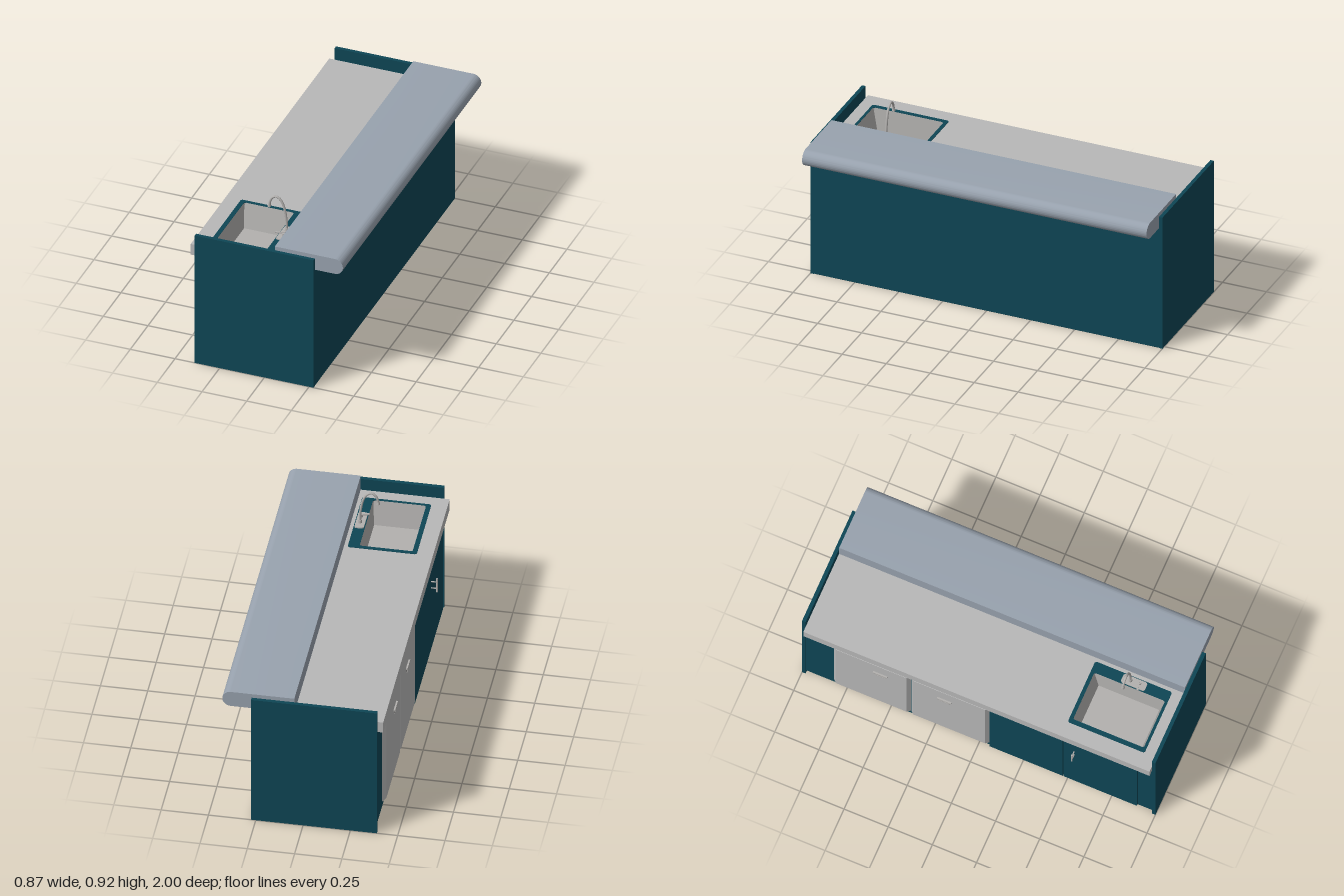
import * as THREE from 'three';
import { toCreasedNormals } from 'three/addons/utils/BufferGeometryUtils.js';

const mat = (name, color, side = THREE.FrontSide) => {
  const m = new THREE.MeshStandardMaterial({ color, side });
  m.name = name;
  return m;
};

export function createModel() {
  const teal = mat('teal laminate', 0x0e4655);
  const stone = mat('grey worktop', 0xb8b8b8);
  const slate = mat('slate bar top', 0x98a2ae);
  const steel = mat('steel', 0xb2b0ae, THREE.DoubleSide);
  const black = mat('black base', 0x232323);
  const model = new THREE.Group();
  model.name = 'barCounter';

  const add = (name, geometry, material, parent = model) => {
    const mesh = new THREE.Mesh(geometry, material);
    mesh.name = name;
    parent.add(mesh);
    return mesh;
  };
  // box given by its limits on each axis
  const box = (name, [x0, x1], [y0, y1], [z0, z1], material, parent) => {
    const mesh = add(name, new THREE.BoxGeometry(x1 - x0, y1 - y0, z1 - z0), material, parent);
    mesh.position.set((x0 + x1) / 2, (y0 + y1) / 2, (z0 + z1) / 2);
    return mesh;
  };
  // rounded rectangle in the ground plane; shape y stands for -z
  const roundRect = (path, x0, x1, z0, z1, r) => {
    const a = -z1, b = -z0;
    path.moveTo(x0 + r, a);
    path.lineTo(x1 - r, a).absarc(x1 - r, a + r, r, -Math.PI / 2, 0);
    path.lineTo(x1, b - r).absarc(x1 - r, b - r, r, 0, Math.PI / 2);
    path.lineTo(x0 + r, b).absarc(x0 + r, b - r, r, Math.PI / 2, Math.PI);
    path.lineTo(x0, a + r).absarc(x0 + r, a + r, r, Math.PI, Math.PI * 1.5);
    return path;
  };
  const slab = (shape, y0, height) => new THREE.ExtrudeGeometry(shape,
    { depth: height, bevelEnabled: false, curveSegments: 4 }).rotateX(-Math.PI / 2).translate(0, y0, 0);

  // carcass
  for (const s of [-1, 1])
    box('endPanel', [-0.39, 0.275], [0, 0.78], s < 0 ? [-1, -0.98] : [0.98, 1], teal);
  box('backPanel', [0.255, 0.275], [0.002, 0.71], [-0.98, 0.98], teal);
  box('frontPanel', [-0.385, -0.365], [0.04, 0.645], [-0.98, 0.98], teal);
  box('base', [-0.37, 0.274], [0.001, 0.04], [-0.98, 0.98], black);

  // worktop with a cut-out for the sink
  const top = new THREE.Shape([[-0.42, -0.98], [0.255, -0.98], [0.255, 0.98], [-0.42, 0.98]]
    .map(p => new THREE.Vector2(...p)));
  top.holes.push(roundRect(new THREE.Path(), -0.31, -0.03, 0.5, 0.9, 0.01));
  add('worktop', slab(top, 0.645, 0.065), stone);

  // raised bar top with a rounded outer edge
  const bar = new THREE.Shape();
  bar.moveTo(0.05, 0.711);
  bar.lineTo(0.385, 0.711).absarc(0.385, 0.7565, 0.0455, -Math.PI / 2, Math.PI / 2);
  bar.lineTo(0.05, 0.802);
  const barGeo = new THREE.ExtrudeGeometry(bar, { depth: 1.958, bevelEnabled: false, curveSegments: 20 });
  add('barTop', toCreasedNormals(barGeo.translate(0, 0, -0.979), 0.6), slate);

  // sink: flat rim and tapered open basin
  const rim = roundRect(new THREE.Shape(), -0.335, 0.03, 0.48, 0.915, 0.012);
  rim.holes.push(roundRect(new THREE.Path(), -0.31, -0.03, 0.5, 0.9, 0.01));
  add('sinkRim', slab(rim, 0.709, 0.004), teal);
  const basinGeo = new THREE.BoxGeometry(0.28, 0.14, 0.4);
  const index = Array.from(basinGeo.index.array);
  index.splice(12, 6); // leave the top open
  basinGeo.setIndex(index);
  basinGeo.clearGroups();
  const bp = basinGeo.attributes.position;
  for (let i = 0; i < bp.count; i++)
    if (bp.getY(i) < 0) bp.setXYZ(i, bp.getX(i) * 0.93, bp.getY(i), bp.getZ(i) * 0.86);
  basinGeo.computeVertexNormals();
  add('sinkBasin', basinGeo, steel).position.set(-0.17, 0.642, 0.7);

  // tap
  const tap = new THREE.Group();
  tap.name = 'tap';
  tap.position.z = 0.69;
  model.add(tap);
  add('tapPlate', slab(roundRect(new THREE.Shape(), -0.025, 0.025, -0.045, 0.09, 0.012), 0.713, 0.006), steel, tap);
  const neck = new THREE.CatmullRomCurve3([[0.002, 0.715], [0, 0.79], [-0.016, 0.87], [-0.036, 0.905],
    [-0.057, 0.916], [-0.077, 0.906], [-0.09, 0.882], [-0.094, 0.86]].map(([x, y]) => new THREE.Vector3(x, y, 0)));
  add('tapNeck', new THREE.TubeGeometry(neck, 40, 0.0065, 12), steel, tap);
  add('tapNozzle', new THREE.CylinderGeometry(0.007, 0.0095, 0.016, 12), steel, tap).position.set(-0.095, 0.857, 0);
  add('tapCollar', new THREE.CylinderGeometry(0.009, 0.011, 0.02, 12), steel, tap).position.set(0.002, 0.727, 0);
  add('leverBase', new THREE.CylinderGeometry(0.009, 0.01, 0.016, 12), steel, tap).position.set(0.005, 0.726, 0.05);
  const lever = box('lever', [-0.04, 0.012], [0.732, 0.738], [0.045, 0.055], steel, tap);
  lever.rotation.y = 0.3;

  // two appliances with bevelled fronts and small pulls
  for (const [z0, z1, pull] of [[-0.82, -0.385, -0.55], [-0.383, 0.06, -0.187]]) {
    const w = z1 - z0;
    const g = new THREE.BoxGeometry(0.02, 0.54, w);
    const p = g.attributes.position;
    for (let i = 0; i < p.count; i++)
      if (p.getX(i) < 0) p.setXYZ(i, p.getX(i), p.getY(i) * 0.94, p.getZ(i) * (1 - 0.036 / w));
    g.computeVertexNormals();
    add('applianceDoor', g, stone).position.set(-0.395, 0.34, (z0 + z1) / 2);
    box('appliancePull', [-0.414, -0.404], [0.49, 0.502], [pull - 0.04, pull + 0.04], steel);
    box('pullRecess', [-0.4065, -0.404], [0.474, 0.49], [pull - 0.034, pull + 0.034], black);
    box('pullLip', [-0.41, -0.404], [0.468, 0.474], [pull - 0.028, pull + 0.028], steel);
  }

  // cupboard doors
  for (const z of [0.065, 0.485])
    box('cupboardDoor', [-0.4, -0.385], [0.055, 0.595], [z, z + 0.415], teal);

  // bar handle on two posts
  const handle = new THREE.Group();
  handle.name = 'cupboardHandle';
  handle.position.z = 0.545;
  model.add(handle);
  add('handleBar', new THREE.CylinderGeometry(0.0045, 0.0045, 0.086, 12), steel, handle).position.set(-0.431, 0.474, 0);
  for (const y of [0.453, 0.494]) {
    const post = add('handlePost', new THREE.CylinderGeometry(0.0035, 0.0035, 0.032, 10), steel, handle);
    post.rotation.z = Math.PI / 2;
    post.position.set(-0.415, y, 0);
  }
  return model;
}
